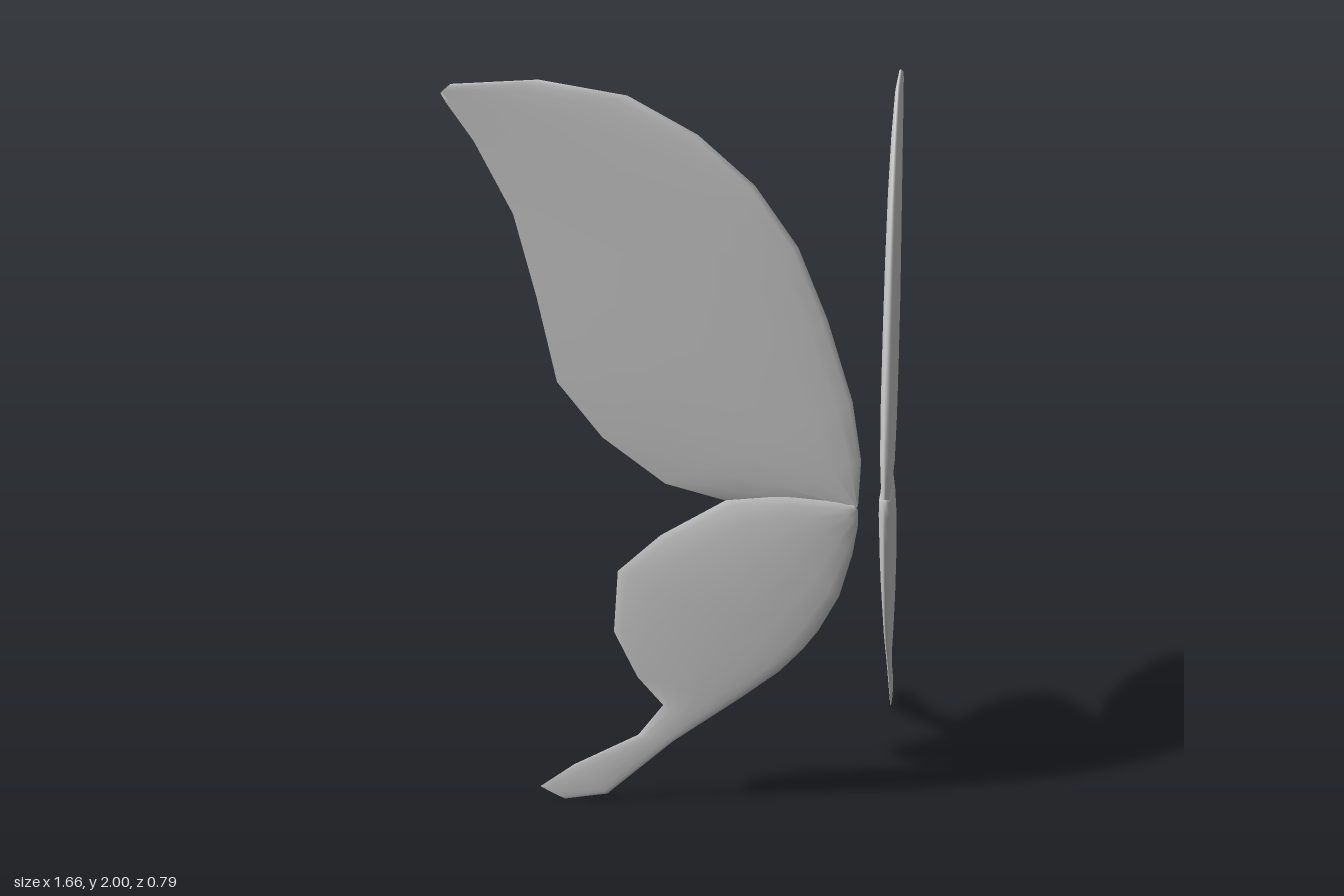
import * as THREE from 'three';

// Each station: leading edge x, y, trailing edge x, y, half thickness
const UPPER = [
  [0.05, 0.875, 0.07, 0.866, 0.012],
  [0.045, 1.0, 0.3, 0.88, 0.02],
  [0.062, 1.16, 0.42, 0.925, 0.022],
  [0.11, 1.38, 0.54, 1.05, 0.022],
  [0.165, 1.57, 0.625, 1.2, 0.021],
  [0.245, 1.73, 0.66, 1.43, 0.019],
  [0.35, 1.86, 0.7, 1.65, 0.016],
  [0.48, 1.96, 0.77, 1.84, 0.012],
  [0.645, 2.0, 0.82, 1.94, 0.007],
  [0.81, 1.988, 0.83, 1.965, 0.002],
];
const LOWER = [
  [0.05, 0.86, 0.06, 0.885, 0.014],
  [0.05, 0.82, 0.1, 0.9, 0.019],
  [0.06, 0.74, 0.2, 0.91, 0.022],
  [0.085, 0.62, 0.3, 0.885, 0.022],
  [0.125, 0.52, 0.43, 0.78, 0.021],
  [0.155, 0.465, 0.515, 0.675, 0.019],
  [0.2, 0.4, 0.525, 0.5, 0.016],
  [0.275, 0.32, 0.48, 0.37, 0.012],
  [0.36, 0.235, 0.43, 0.29, 0.008],
  [0.41, 0.185, 0.48, 0.2, 0.007],
  [0.545, 0.02, 0.61, 0.105, 0.005],
  [0.63, 0.0, 0.68, 0.035, 0.002],
];

// Thickness across the chord, u = 0 at the leading edge
const teardrop = (u) => 1.9 * Math.sqrt(u) * (1 - u) * 1.3 / 0.95;
const lens = (u) => 2 * Math.sqrt(u * (1 - u));
const CHORD = [1, 0.95, 0.8, 0.6, 0.4, 0.2, 0.08, 0.02, 0];

// Loft closed sections along a wing lying in the diagonal plane x + z = 0.435
function wingGeometry(stations, thickness, side, downward) {
  const ring = [
    ...CHORD.map((u) => [u, 1]),
    ...CHORD.slice(0, -1).reverse().map((u) => [u, -1]),
  ];
  const n = ring.length;
  const positions = [];
  const indices = [];
  const flip = (side < 0) !== downward;
  const face = (a, b, c) => (flip ? indices.push(a, c, b) : indices.push(a, b, c));

  for (const [lx, ly, tx, ty, h] of stations) {
    for (const [u, face] of ring) {
      const x = lx + (tx - lx) * u;
      const y = ly + (ty - ly) * u;
      const d = (face * h * Math.min(1, thickness(u))) / Math.SQRT2;
      positions.push(side * (x + d), y, 0.435 - x + d);
    }
  }
  for (let i = 0; i < stations.length - 1; i++) {
    for (let j = 0; j < n - 1; j++) {
      const a = i * n + j;
      face(a, a + n, a + 1);
      face(a + 1, a + n, a + n + 1);
    }
  }
  // Root and tip caps
  const last = (stations.length - 1) * n;
  for (let j = 1; j < n - 1; j++) {
    face(0, j, j + 1);
    face(last, last + j + 1, last + j);
  }
  const geometry = new THREE.BufferGeometry();
  geometry.setAttribute('position', new THREE.Float32BufferAttribute(positions, 3));
  geometry.setIndex(indices);
  geometry.computeVertexNormals();
  return geometry;
}

export function createModel() {
  const model = new THREE.Group();
  model.name = 'butterflyWings';
  const material = new THREE.MeshStandardMaterial({ color: 0xcccccc, side: THREE.DoubleSide });
  material.name = 'light grey';

  for (const [label, side] of [['left', 1], ['right', -1]]) {
    const pair = new THREE.Group();
    pair.name = label + 'Wings';
    const upper = new THREE.Mesh(wingGeometry(UPPER, teardrop, side, false), material);
    upper.name = label + 'UpperWing';
    const lower = new THREE.Mesh(wingGeometry(LOWER, lens, side, true), material);
    lower.name = label + 'LowerWing';
    pair.add(upper, lower);
    model.add(pair);
  }
  return model;
}
